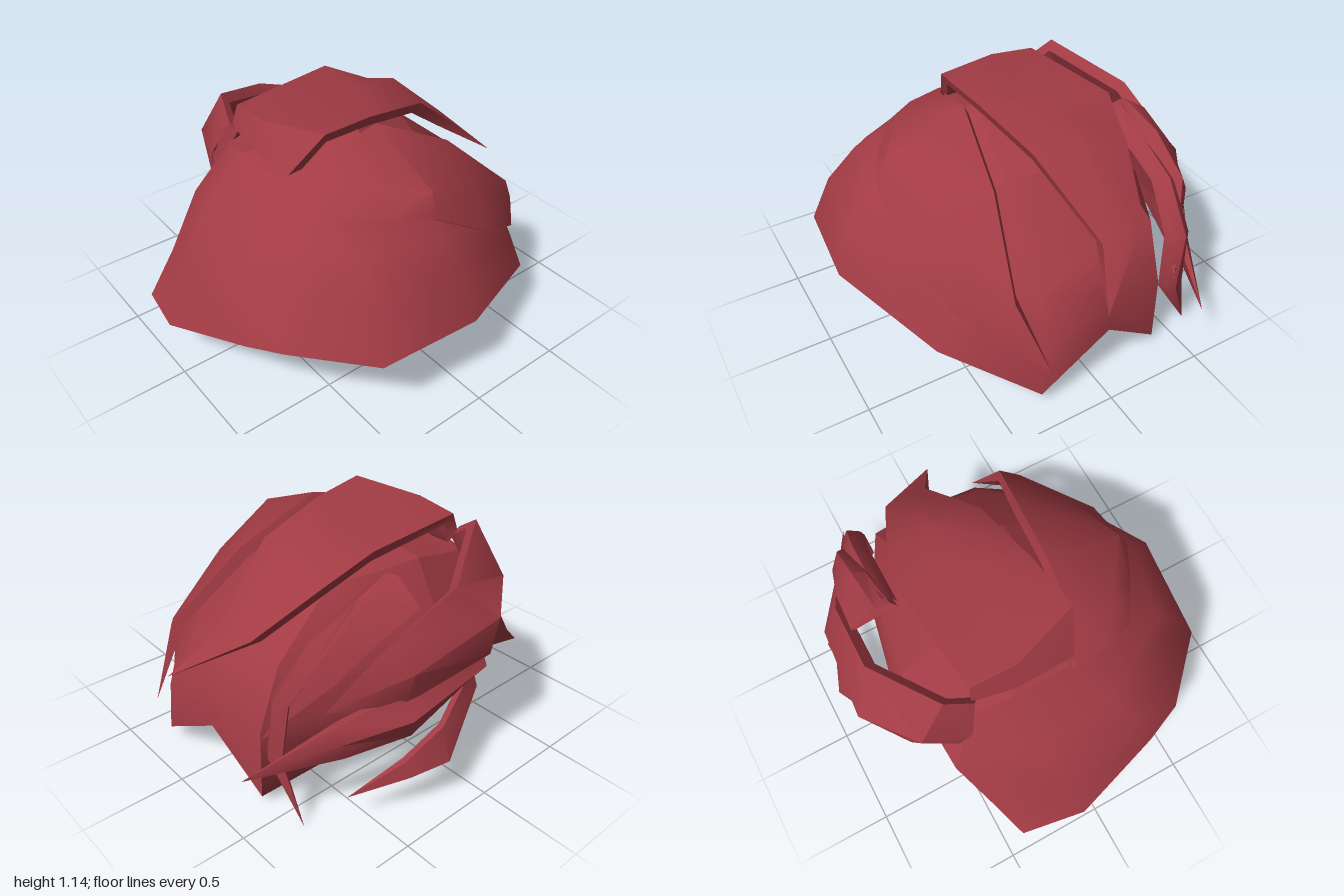
import * as THREE from 'three';
import { toCreasedNormals } from 'three/addons/utils/BufferGeometryUtils.js';

// Surface through rows of points, smooth along its own grid
function skin(rows) {
  const n = rows[0].length, index = [];
  for (let i = 0; i < rows.length - 1; i++) {
    for (let j = 0; j < n - 1; j++) {
      const p = i * n + j, q = p + n;
      index.push(p, q, p + 1, q, q + 1, p + 1);
    }
  }
  const g = new THREE.BufferGeometry();
  g.setAttribute('position', new THREE.Float32BufferAttribute(rows.flat(2), 3));
  g.setIndex(index);
  g.computeVertexNormals();
  return g;
}

// Fan of flat triangles from one point to an open line
function fan(centre, line) {
  const pos = [];
  for (let i = 0; i < line.length - 1; i++) pos.push(...centre, ...line[i], ...line[i + 1]);
  const g = new THREE.BufferGeometry();
  g.setAttribute('position', new THREE.Float32BufferAttribute(pos, 3));
  g.computeVertexNormals();
  return g;
}

export function createModel() {
  const group = new THREE.Group();
  const hairRed = new THREE.MeshStandardMaterial({ color: 0xa23b44, side: THREE.DoubleSide });
  hairRed.name = 'hairRed';

  const add = (name, geometry) => {
    const mesh = new THREE.Mesh(geometry, hairRed);
    mesh.name = name;
    group.add(mesh);
  };

  // Swept lock: stations of [edge, ridge, edge] with side walls and an inner face, ending in a point
  const core = new THREE.Vector3(0, 0.45, -0.1);
  const inset = (p, depth) => {
    const v = new THREE.Vector3(...p);
    return v.addScaledVector(core.clone().sub(v).normalize(), depth).toArray();
  };
  const lock = (name, stations, tip, depthA, depthB = 0.015) => {
    const rows = stations.map(([a, m, b]) => [a, m, b, inset(b, depthB), inset(a, depthA), a]);
    rows.push(Array(6).fill(tip));
    add(name, toCreasedNormals(skin(rows), 0.8));
  };

  // Main cap: columns from rim to crown, from the back right round the front to the back left
  const cap = [
    [[-0.94, 0.19, -0.41], [-0.76, 0.35, -0.48], [-0.55, 0.58, -0.57], [-0.42, 0.9, -0.4]],
    [[-1, 0.25, -0.09], [-0.89, 0.49, -0.12], [-0.71, 0.71, -0.2], [-0.46, 0.94, -0.22]],
    [[-0.86, 0.38, 0.37], [-0.78, 0.6, 0.3], [-0.64, 0.77, 0.2], [-0.45, 0.94, 0.08]],
    [[-0.78, 0.43, 0.56], [-0.7, 0.63, 0.46], [-0.57, 0.79, 0.35], [-0.43, 0.92, 0.24]],
    [[-0.48, 0.4, 0.86], [-0.45, 0.63, 0.76], [-0.42, 0.79, 0.61], [-0.39, 0.9, 0.4]],
    [[0.02, 0.42, 0.91], [0, 0.64, 0.83], [-0.04, 0.8, 0.7], [-0.05, 0.89, 0.58]],
    [[0.59, 0.31, 0.68], [0.57, 0.46, 0.61], [0.4, 0.6, 0.62], [0.24, 0.72, 0.58]],
    [[0.87, 0.08, 0.3], [0.86, 0.35, 0.27], [0.72, 0.57, 0.24], [0.33, 0.9, 0.17]],
    [[0.85, 0.29, -0.07], [0.83, 0.46, -0.07], [0.74, 0.65, -0.08], [0.4, 0.93, -0.08]],
    [[0.81, 0.05, -0.38], [0.8, 0.4, -0.38], [0.69, 0.7, -0.38], [0.35, 0.95, -0.32]],
  ];
  // Back wall, running in beneath the back locks to a hollow at the nape
  const hollow = [-0.05, 0.2, -0.2];
  const side = cap[9];
  const back = [
    [side[0], ...side],
    [[0.38, 0.125, -0.29], [0.4, 0.2, -0.52], [0.42, 0.45, -0.57], [0.38, 0.72, -0.53], [0.15, 0.97, -0.4]],
    [hollow, [-0.05, 0.34, -0.65], [-0.05, 0.54, -0.66], [-0.06, 0.74, -0.6], [-0.1, 0.97, -0.42]],
  ];
  const nape = back[2];
  add('mainCap', skin(cap));
  add('backWall', skin(back));
  add('underside', fan(hollow, cap.map((c) => c[0])));
  add('backRecess', fan(hollow, [...nape.slice(1, 4), cap[0][2], cap[0][1], cap[0][0]]));
  add('backSeam', skin([nape.slice(3), cap[0].slice(2)]));
  add('crown', fan([-0.05, 1.09, 0.13], [...cap.map((c) => c[3]), back[1][4], nape[4], cap[0][3]]));

  // Large lock sweeping across the front
  lock('frontLock', [
    [[-0.48, 0.95, 0.1], [-0.46, 0.93, 0.28], [-0.4, 0.89, 0.44]],
    [[-0.28, 1.04, 0.19], [-0.24, 1.0, 0.44], [-0.2, 0.88, 0.57]],
    [[0, 1.13, 0.21], [-0.01, 0.97, 0.61], [-0.03, 0.86, 0.66]],
    [[0.4, 0.93, 0.28], [0.36, 0.82, 0.53], [0.3, 0.66, 0.69]],
    [[0.76, 0.6, 0.38], [0.7, 0.57, 0.47], [0.6, 0.5, 0.58]],
  ], [0.93, 0.28, 0.29], 0.06);

  // Wide lock over the top
  lock('topLock', [
    [[-0.4, 1.0, -0.39], [-0.44, 1.0, -0.2], [-0.43, 0.97, 0.12]],
    [[-0.37, 1.1, -0.38], [-0.38, 1.12, -0.15], [-0.27, 1.155, 0.19]],
    [[0.21, 1.11, -0.45], [0.2, 1.12, -0.15], [0.02, 1.13, 0.15]],
    [[0.45, 0.99, -0.39], [0.42, 1.09, -0.15], [0.4, 1.05, 0.08]],
    [[0.75, 0.8, -0.28], [0.78, 0.78, -0.16], [0.77, 0.76, -0.05]],
  ], [0.98, 0.56, 0.05], 0.07, 0.06);

  // Layered locks at the back, from the top down
  lock('upperBackLock', [
    [[0.18, 1.02, -0.5], [0.18, 1.03, -0.57], [0.18, 0.93, -0.71]],
    [[0.4, 0.96, -0.53], [0.42, 0.97, -0.59], [0.4, 0.86, -0.7]],
    [[0.6, 0.82, -0.55], [0.63, 0.82, -0.6], [0.6, 0.72, -0.66]],
  ], [0.84, 0.42, -0.44], 0.05);

  lock('hangingLock', [
    [[0.2, 1.0, -0.48], [0.22, 1.02, -0.53], [0.22, 0.97, -0.6]],
    [[0.6, 0.84, -0.47], [0.63, 0.85, -0.52], [0.6, 0.8, -0.58]],
    [[0.77, 0.64, -0.44], [0.81, 0.64, -0.5], [0.77, 0.62, -0.55]],
    [[0.8, 0.34, -0.42], [0.83, 0.34, -0.47], [0.8, 0.34, -0.53]],
  ], [0.76, 0.01, -0.62], 0.03);

  lock('middleBackLock', [
    [[-0.42, 1.02, -0.38], [-0.5, 0.85, -0.44], [-0.48, 0.7, -0.5]],
    [[-0.38, 1.11, -0.51], [-0.43, 0.86, -0.66], [-0.36, 0.68, -0.7]],
    [[-0.02, 0.97, -0.73], [-0.17, 0.82, -0.86], [-0.15, 0.63, -0.84]],
    [[0.36, 0.83, -0.73], [0.32, 0.72, -0.83], [0.33, 0.56, -0.79]],
  ], [0.65, 0.58, -0.64], 0.06);

  lock('lowerBackLock', [
    [[-0.43, 0.72, -0.42], [-0.46, 0.62, -0.46], [-0.4, 0.54, -0.44]],
    [[-0.1, 0.66, -0.76], [-0.16, 0.55, -0.82], [-0.12, 0.46, -0.76]],
    [[0.36, 0.6, -0.77], [0.34, 0.5, -0.85], [0.3, 0.38, -0.8]],
    [[0.62, 0.5, -0.66], [0.62, 0.43, -0.7], [0.58, 0.33, -0.68]],
  ], [0.99, 0.32, -0.5], 0.05);

  lock('napeLock', [
    [[-0.42, 0.6, -0.4], [-0.42, 0.54, -0.44], [-0.36, 0.46, -0.4]],
    [[-0.18, 0.47, -0.72], [-0.18, 0.4, -0.76], [-0.16, 0.33, -0.7]],
    [[0.16, 0.39, -0.86], [0.17, 0.24, -0.92], [0.12, 0.21, -0.88]],
    [[0.36, 0.28, -0.83], [0.35, 0.21, -0.86], [0.33, 0.18, -0.82]],
  ], [0.6, 0.15, -0.72], 0.03);

  return group;
}
